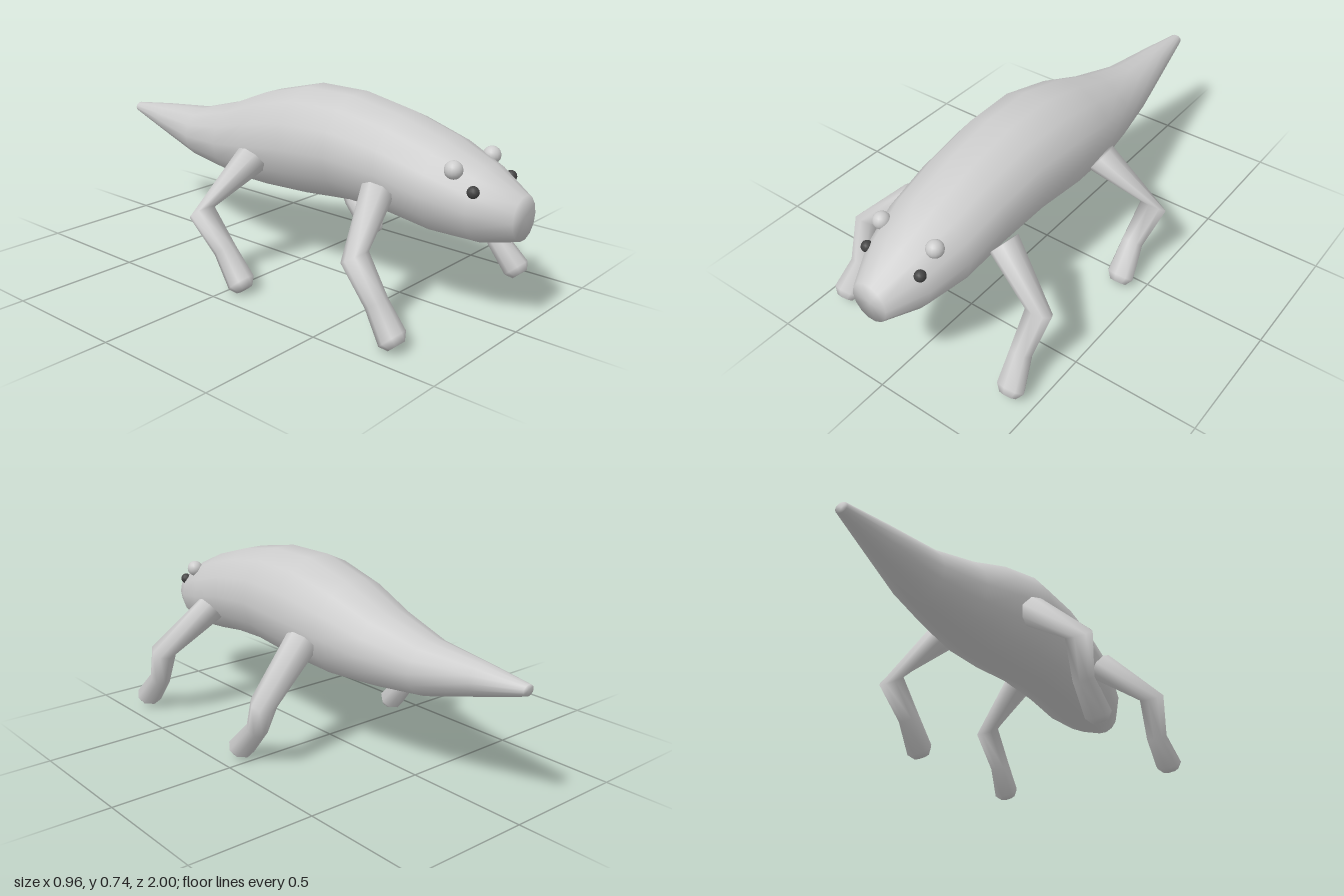
import * as THREE from 'three';

const skin = new THREE.MeshStandardMaterial({ color: 0xcccccc });
skin.name = 'pale grey skin';
const dark = new THREE.MeshStandardMaterial({ color: 0x444444 });
dark.name = 'dark grey';

// Closed, smooth skin over a row of elliptical rings: { c: centre, u, v: half axes }
function loft(rings, sides) {
  const pos = [], index = [];
  for (const { c, u, v } of rings) {
    for (let j = 0; j < sides; j++) {
      const a = (j / sides) * Math.PI * 2;
      const p = c.clone().addScaledVector(u, Math.cos(a)).addScaledVector(v, Math.sin(a));
      pos.push(p.x, p.y, p.z);
    }
  }
  const last = (rings.length - 1) * sides;
  const startCap = pos.length / 3, endCap = startCap + 1;
  pos.push(...rings[0].c.toArray(), ...rings[rings.length - 1].c.toArray());
  for (let j = 0; j < sides; j++) {
    const k = (j + 1) % sides;
    for (let r = 0; r < last; r += sides) {
      index.push(r + j, r + k, r + sides + j, r + k, r + sides + k, r + sides + j);
    }
    index.push(startCap, k, j, endCap, last + j, last + k);
  }
  const g = new THREE.BufferGeometry();
  g.setAttribute('position', new THREE.Float32BufferAttribute(pos, 3));
  g.setIndex(index);
  g.computeVertexNormals();
  return g;
}

// Body sections from tail to snout: z, top, bottom, half width
const BODY = [
  [-1, 0.51, 0.47, 0.026], [-0.8, 0.533, 0.412, 0.068], [-0.56, 0.555, 0.345, 0.118],
  [-0.34, 0.615, 0.32, 0.166], [-0.15, 0.69, 0.308, 0.205], [0.07, 0.745, 0.32, 0.226],
  [0.29, 0.745, 0.34, 0.216], [0.51, 0.705, 0.334, 0.205], [0.7, 0.648, 0.308, 0.192],
  [0.86, 0.58, 0.308, 0.15], [1, 0.5, 0.342, 0.076],
];

// Leg rings: centre, direction, width radius, depth radius
const LEGS = {
  front: [
    [[0.21, 0.465, 0.54], [0.75, -0.65, 0.1], 0.062, 0.06],
    [[0.41, 0.3, 0.605], [0, -0.85, 0.5], 0.054, 0.05],
    [[0.39, 0.15, 0.685], [0, -0.82, 0.57], 0.045, 0.042],
    [[0.404, 0.05, 0.765], [0, -0.75, 0.66], 0.057, 0.05],
    [[0.404, 0.028, 0.783], [0, -0.75, 0.66], 0.036, 0.03],
  ],
  hind: [
    [[0.205, 0.465, -0.075], [0.78, -0.62, -0.1], 0.062, 0.068],
    [[0.425, 0.29, -0.13], [0, -0.8, 0.6], 0.057, 0.046],
    [[0.395, 0.15, -0.04], [0, -0.78, 0.62], 0.045, 0.042],
    [[0.404, 0.044, 0.055], [0, -0.75, 0.66], 0.057, 0.05],
    [[0.404, 0.022, 0.073], [0, -0.75, 0.66], 0.036, 0.03],
  ],
};

function legGeometry(path, side) {
  const forward = new THREE.Vector3(0, 0, 1);
  const rings = path.map(([c, d, wide, deep]) => {
    const n = new THREE.Vector3(d[0] * side, d[1], d[2]).normalize();
    const u = forward.clone().cross(n).normalize();
    const v = n.clone().cross(u);
    return {
      c: new THREE.Vector3(c[0] * side, c[1], c[2]),
      u: u.multiplyScalar(wide),
      v: v.multiplyScalar(deep),
    };
  });
  return loft(rings, 8);
}

export function createModel() {
  const model = new THREE.Group();
  model.name = 'lizard';
  const add = (name, geometry, material) => {
    const mesh = new THREE.Mesh(geometry, material);
    mesh.name = name;
    model.add(mesh);
    return mesh;
  };

  // Body, head and tail in one skin
  const sides = 14;
  add('body', loft(BODY.map(([z, top, bottom, half]) => ({
    c: new THREE.Vector3(0, (top + bottom) / 2, z),
    u: new THREE.Vector3(half, 0, 0),
    v: new THREE.Vector3(0, (top - bottom) / 2 / Math.cos(Math.PI / sides), 0),
  })), sides), skin);

  for (const [label, side] of [['Left', 1], ['Right', -1]]) {
    // Legs
    for (const [end, path] of Object.entries(LEGS)) {
      add(end + 'Leg' + label, legGeometry(path, side), skin);
    }
    // Eyes and nostrils
    add('eye' + label, new THREE.SphereGeometry(0.033, 16, 12), skin)
      .position.set(0.122 * side, 0.577, 0.792);
    const nostril = add('nostril' + label, new THREE.SphereGeometry(0.022, 12, 8), dark);
    nostril.position.set(0.122 * side, 0.515, 0.872);
  }
  return model;
}
